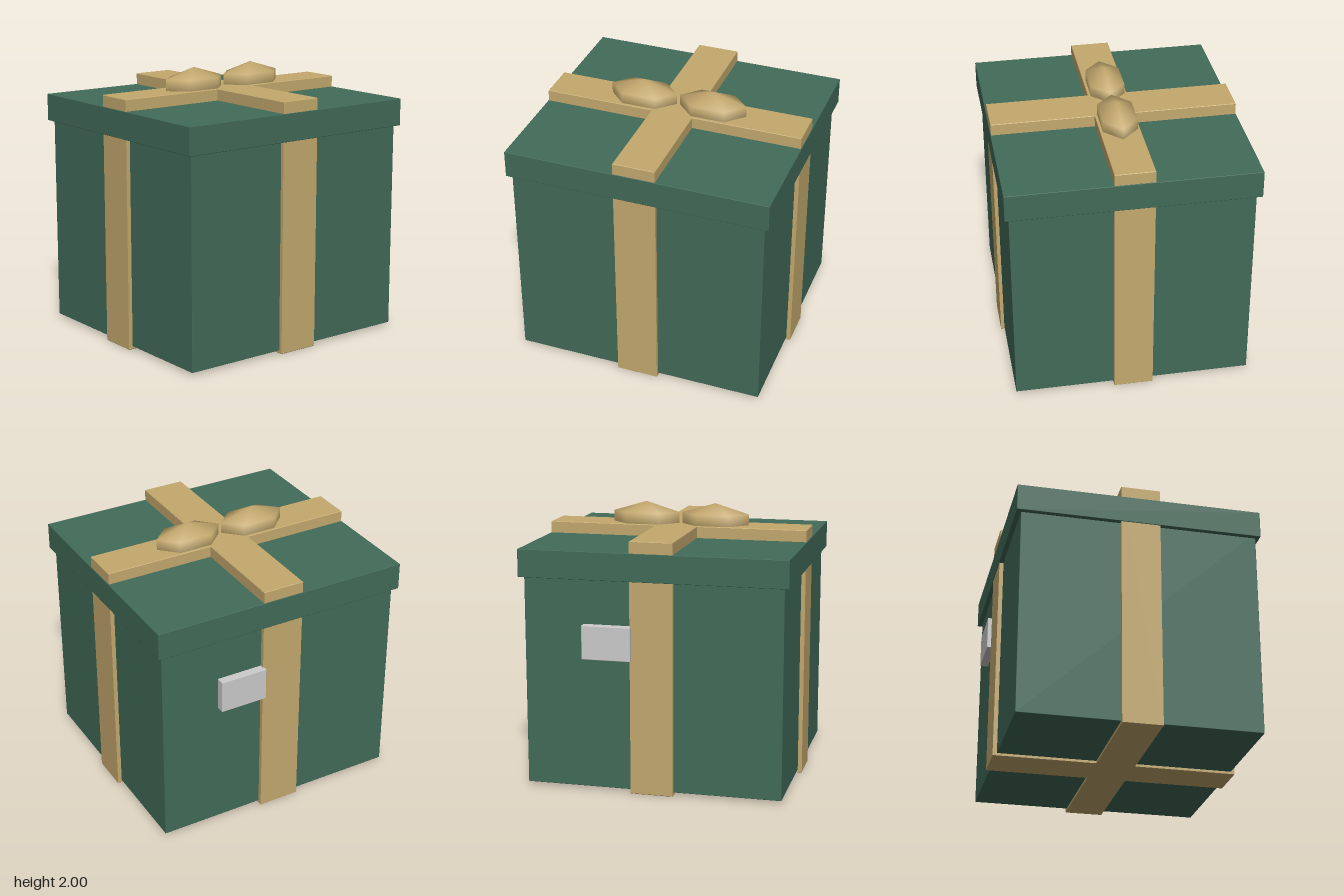
import * as THREE from 'three';
import { RoundedBoxGeometry } from 'three/addons/geometries/RoundedBoxGeometry.js';

const green = new THREE.MeshStandardMaterial({ color: 0x426b59 });
const gold = new THREE.MeshStandardMaterial({ color: 0xc4a96e });
const grey = new THREE.MeshStandardMaterial({ color: 0xcccccc });

export function createModel() {
  const group = new THREE.Group();

  const add = (name, geometry, material) => {
    const mesh = new THREE.Mesh(geometry, material);
    mesh.name = name;
    group.add(mesh);
    return mesh;
  };

  // Box with slightly softened edges, given by its extents on each axis
  const block = (name, [x0, x1], [y0, y1], [z0, z1], material) =>
    add(name, new RoundedBoxGeometry(x1 - x0, y1 - y0, z1 - z0, 1, 0.004), material)
      .position.set((x0 + x1) / 2, (y0 + y1) / 2, (z0 + z1) / 2);

  block('boxBody', [-0.94, 0.94], [0.022, 1.6], [-0.855, 0.885], green);
  block('lid', [-0.976, 0.976], [1.555, 1.757], [-0.89, 0.915], green);

  // Ribbon: a plus-shaped column that wraps the box on all sides
  const b = 0.004;
  const x = 0.971 - b, w = 0.156 - b;
  const back = -0.886 + b, front = 0.911 - b, z0 = -0.131 + b, z1 = 0.158 - b;
  const plus = new THREE.Shape([
    [-w, -front], [w, -front], [w, -z1], [x, -z1], [x, -z0], [w, -z0],
    [w, -back], [-w, -back], [-w, -z0], [-x, -z0], [-x, -z1], [-w, -z1],
  ].map(([px, py]) => new THREE.Vector2(px, py)));
  const ribbon = new THREE.ExtrudeGeometry(plus, {
    depth: 1.843 - 2 * b, bevelEnabled: true, bevelSize: b, bevelThickness: b, bevelSegments: 1,
  });
  ribbon.rotateX(-Math.PI / 2);
  add('ribbon', ribbon, gold).position.y = b;

  // Bow: two stretched six-sided loops, half sunk into the ribbon
  for (const [name, side] of [['bowLoopLeft', 1], ['bowLoopRight', -1]]) {
    const loop = add(name, new THREE.SphereGeometry(1, 6, 3), gold);
    loop.scale.set(0.292, 0.152, 0.167);
    loop.position.set(0.264 * side, 1.848, 0.013);
  }

  // Gift tag on the back
  block('giftTag', [0.145, 0.503], [0.985, 1.232], [-0.916, -0.85], grey);

  return group;
}
